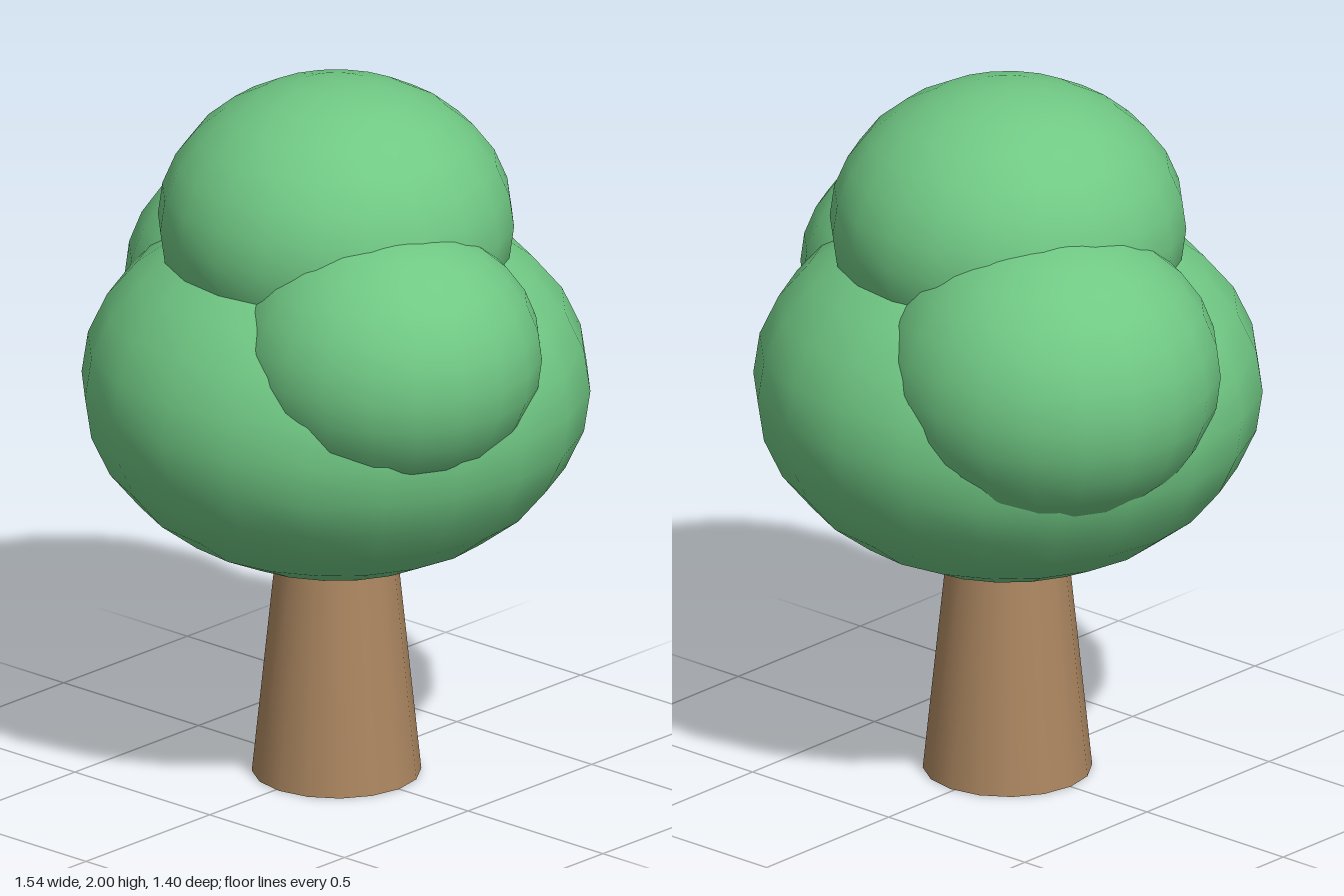
import * as THREE from 'three';

export function createModel() {
  const tree = new THREE.Group();
  tree.name = 'tree';

  const leafGreen = new THREE.MeshStandardMaterial({ color: 0x70c884 });
  leafGreen.name = 'leafGreen';
  const barkBrown = new THREE.MeshStandardMaterial({ color: 0xab8660 });
  barkBrown.name = 'barkBrown';

  // Tapered trunk, running up into the crown
  const trunkHeight = 0.8;
  const trunk = new THREE.Mesh(new THREE.CylinderGeometry(0.149, 0.232, trunkHeight, 16), barkBrown);
  trunk.name = 'trunk';
  trunk.position.set(0.012, trunkHeight / 2, 0);
  tree.add(trunk);

  // Crown of flattened, overlapping leaf clumps: name, centre, radius, half height
  const clumps = [
    ['mainFoliage', [0.01, 1.13, 0], 0.7, 0.522],
    ['topFoliage', [0.01, 1.6, 0], 0.49, 0.4],
    ['leftFoliage', [0.346, 1.335, 0.155], 0.423, 0.365],
    ['rightFoliage', [-0.307, 1.3, -0.178], 0.467, 0.412],
  ];
  for (const [name, centre, radius, halfHeight] of clumps) {
    const geometry = new THREE.SphereGeometry(1, 20, 14);
    geometry.scale(radius, halfHeight, radius);
    const clump = new THREE.Mesh(geometry, leafGreen);
    clump.name = name;
    clump.position.set(...centre);
    tree.add(clump);
  }

  return tree;
}
